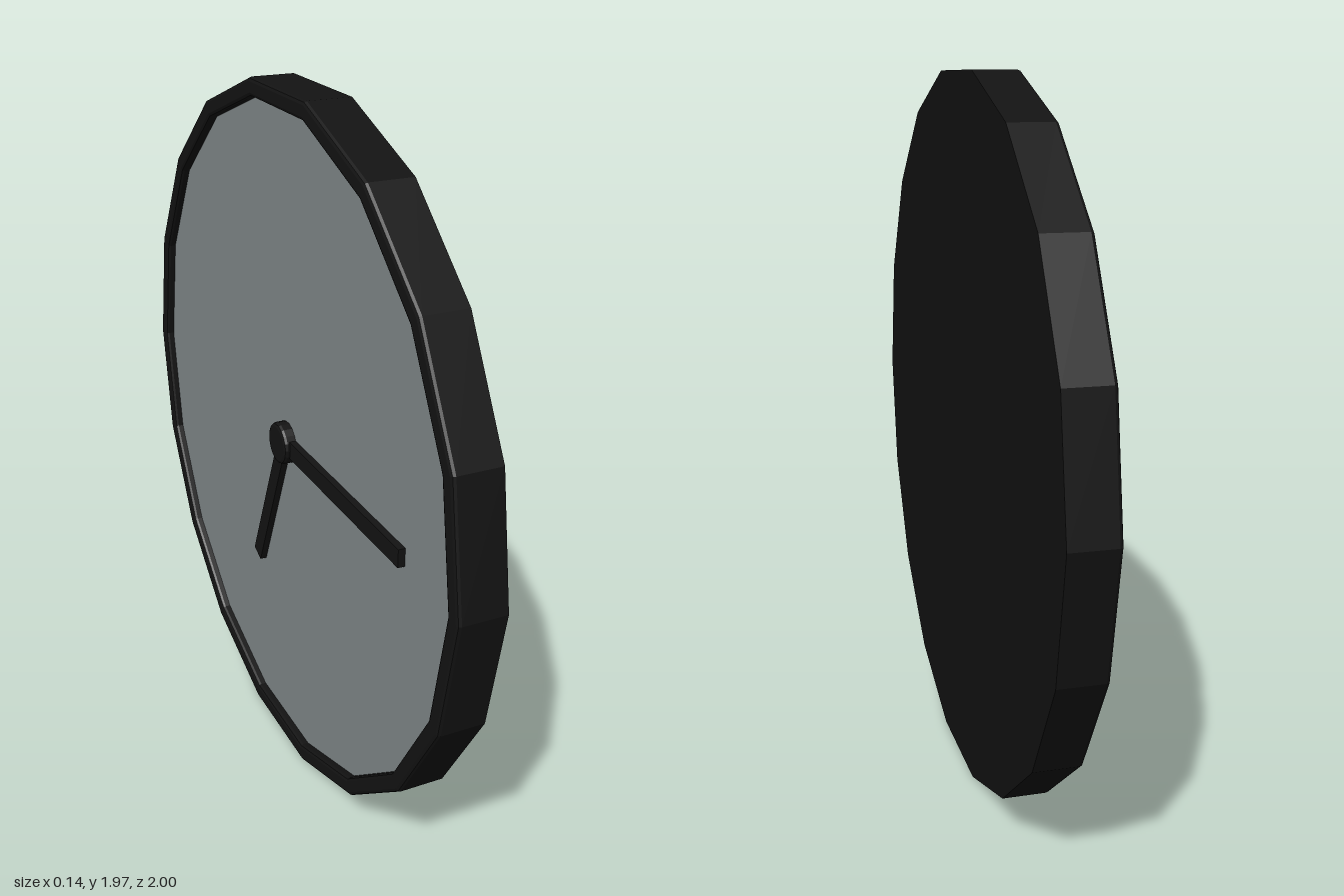
import * as THREE from 'three';

const black = new THREE.MeshStandardMaterial({ color: 0x131313, flatShading: true });
const grey = new THREE.MeshStandardMaterial({ color: 0x838a8c, flatShading: true });

// Turned part: profile of [radius, height] pairs, from bottom to top
function turned(name, profile, sides, material) {
  const points = profile.map(([r, y]) => new THREE.Vector2(r, y));
  const mesh = new THREE.Mesh(new THREE.LatheGeometry(points, sides), material);
  mesh.name = name;
  return mesh;
}

// Flat bar starting at the hub and reaching towards (dx, dz)
function hand(name, dx, dz, hub) {
  const length = Math.hypot(dx, dz);
  const geometry = new THREE.BoxGeometry(0.05, 0.022, length);
  geometry.translate(0, 0, length / 2);
  const mesh = new THREE.Mesh(geometry, black);
  mesh.name = name;
  mesh.rotation.y = Math.atan2(dx, dz);
  mesh.position.set(hub.x, 0.043, hub.z);
  return mesh;
}

export function createModel() {
  const model = new THREE.Group();
  model.name = 'wallClock';

  // Built lying flat, then stood up so the dial looks along -x
  const clock = new THREE.Group();
  clock.name = 'clock';
  clock.rotation.z = Math.PI / 2;
  clock.position.y = 0.985;
  model.add(clock);

  // Closed back, outer wall and bevelled raised rim
  clock.add(turned('case', [
    [0, -0.07], [1, -0.07], [1, 0.05], [0.997, 0.057], [0.99, 0.06],
    [0.96, 0.06], [0.953, 0.057], [0.95, 0.05], [0.95, 0.03],
  ], 18, black));

  // Recessed dial
  clock.add(turned('dial', [[0.955, 0.035], [0, 0.035]], 18, grey));

  // Centre cap with a rounded edge, and the two hands
  const hub = new THREE.Vector3(0.015, 0, 0.02);
  const cap = turned('centreCap', [
    [0.06, 0.03], [0.06, 0.06], [0.057, 0.067], [0.05, 0.07], [0, 0.07],
  ], 18, black);
  cap.position.copy(hub);
  clock.add(cap);
  clock.add(hand('minuteHand', 0, 0.69, hub));
  clock.add(hand('hourHand', -0.46, -0.19, hub));

  return model;
}
